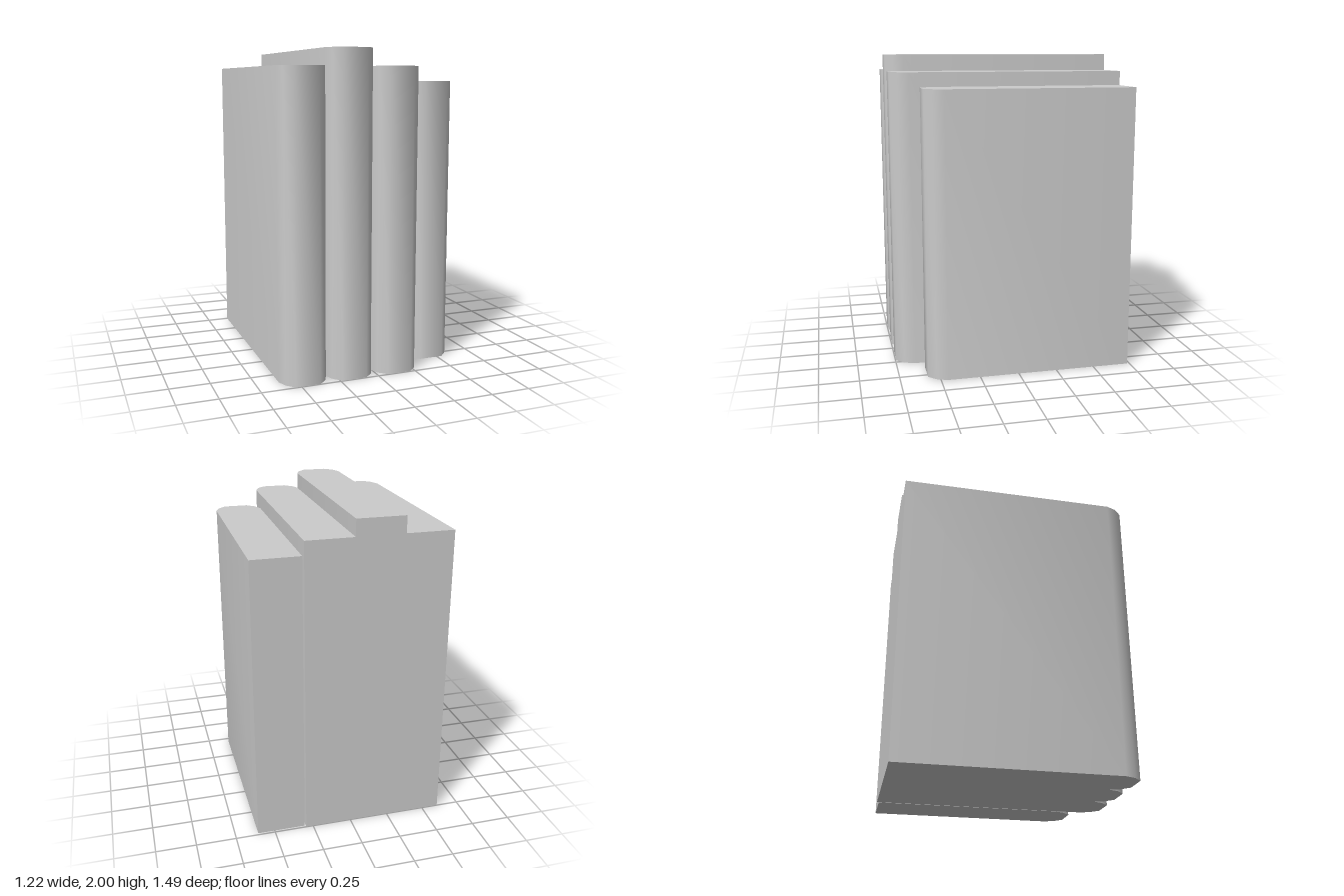
import * as THREE from 'three';
import { toCreasedNormals } from 'three/addons/utils/BufferGeometryUtils.js';

// Upright book: square at the back, rounded spine at the front
function makeBook({ name, x, height, back, front }) {
  const half = 0.152;
  // Right half of the outline, as [x, z], from back to spine
  const side = [
    [half, back],
    [half, front - 0.115],
    [0.127, front - 0.05],
    [0.077, front],
  ];
  const outline = [...side, ...side.map(([px, pz]) => [-px, pz]).reverse()];
  const shape = new THREE.Shape(outline.map(([px, pz]) => new THREE.Vector2(px, -pz)));
  const geometry = new THREE.ExtrudeGeometry(shape, { depth: height, bevelEnabled: false });
  geometry.rotateX(-Math.PI / 2);

  // Smooth the spine, keep the caps and back corners sharp
  const mesh = new THREE.Mesh(
    toCreasedNormals(geometry, THREE.MathUtils.degToRad(55)),
    new THREE.MeshStandardMaterial({ color: 0xcccccc })
  );
  mesh.name = name;
  mesh.position.x = x;
  return mesh;
}

export function createModel() {
  const group = new THREE.Group();
  group.name = 'bookRow';
  const books = [
    { name: 'firstBook', x: -0.457, height: 1.895, back: -0.747, front: 0.745 },
    { name: 'tallBook', x: -0.157, height: 2, back: -0.747, front: 0.745 },
    { name: 'thirdBook', x: 0.143, height: 1.895, back: -0.747, front: 0.745 },
    { name: 'smallBook', x: 0.455, height: 1.805, back: -0.735, front: 0.573 },
  ];
  for (const book of books) group.add(makeBook(book));
  return group;
}
